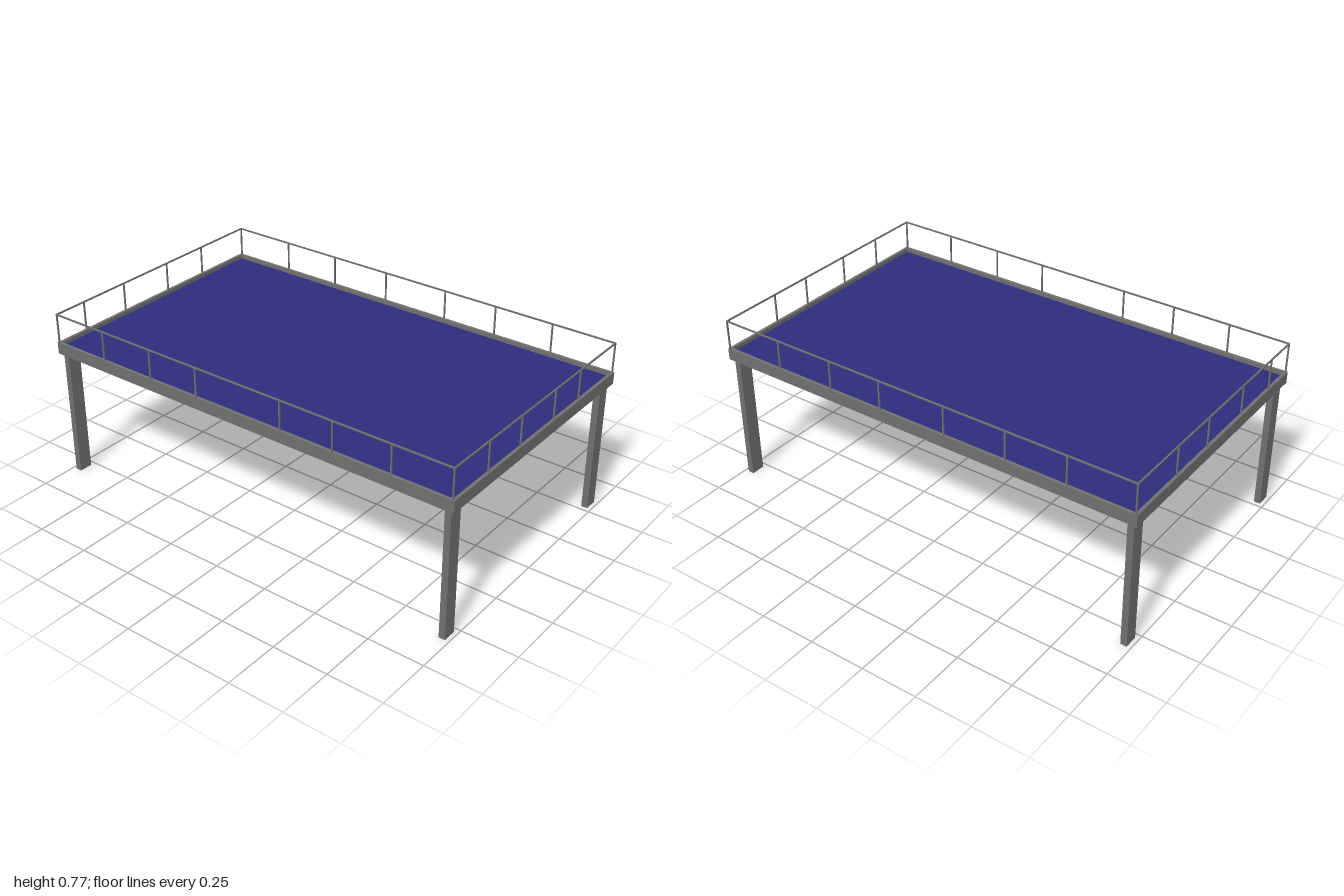
import * as THREE from 'three';

export function createModel() {
  const model = new THREE.Group();
  const steel = new THREE.MeshStandardMaterial({ color: 0x707070 });
  const blue = new THREE.MeshStandardMaterial({ color: 0x2c2c7c });

  const W = 0.597, L = 0.997;           // half width and half length
  const beamLow = 0.58, beamTop = 0.633, beamT = 0.014;
  const deckLow = 0.6, deckTop = 0.615;
  const railTop = 0.767, bar = 0.006;

  // Box given by its two opposite corners
  function box(parent, name, [x0, y0, z0], [x1, y1, z1], material = steel) {
    const geometry = new THREE.BoxGeometry(x1 - x0, y1 - y0, z1 - z0);
    const mesh = new THREE.Mesh(geometry, material);
    mesh.position.set((x0 + x1) / 2, (y0 + y1) / 2, (z0 + z1) / 2);
    mesh.name = name;
    parent.add(mesh);
  }

  // Open rectangular ring with its outer half sizes, bar width and height
  function ring(parent, name, w, l, t, low, high) {
    const shape = new THREE.Shape([[-w, -l], [w, -l], [w, l], [-w, l]]
      .map(([x, y]) => new THREE.Vector2(x, y)));
    const a = w - t, b = l - t;
    shape.holes.push(new THREE.Path([[-a, -b], [-a, b], [a, b], [a, -b]]
      .map(([x, y]) => new THREE.Vector2(x, y))));
    const geometry = new THREE.ExtrudeGeometry(shape, { depth: high - low, bevelEnabled: false });
    geometry.rotateX(-Math.PI / 2);
    const mesh = new THREE.Mesh(geometry, steel);
    mesh.position.y = low;
    mesh.name = name;
    parent.add(mesh);
  }

  // Edge frame with the deck sunk into it
  ring(model, 'edgeFrame', W, 1, beamT, beamLow, beamTop);
  box(model, 'deck', [-W + beamT, deckLow, -1 + beamT], [W - beamT, deckTop, 1 - beamT], blue);

  // Four flat legs inside the frame corners
  const legs = new THREE.Group();
  legs.name = 'legs';
  for (const sx of [-1, 1]) {
    for (const sz of [-1, 1]) {
      const x = sx * 0.552, z = sz * 0.968;
      box(legs, 'leg', [x - 0.031, 0, z - 0.014], [x + 0.031, deckLow, z + 0.014]);
    }
  }
  model.add(legs);

  // Guard rail on thin posts
  const railing = new THREE.Group();
  railing.name = 'railing';
  const w = W - 0.001, l = L - 0.002;
  ring(railing, 'handrail', w, l, bar, railTop - bar, railTop);
  const px = w - bar / 2, pz = l - bar / 2;
  const post = (x, z) => box(railing, 'post',
    [x - bar / 2, beamTop - 0.01, z - bar / 2], [x + bar / 2, railTop - bar, z + bar / 2]);
  for (const sx of [-1, 1]) for (const sz of [-1, 1]) post(sx * px, sz * pz);

  // Intermediate posts along each side
  for (const x of [-0.362, -0.137, 0.112, 0.307]) post(x, pz);
  for (const x of [-0.437, -0.198, 0.075, 0.307]) post(x, -pz);
  for (const z of [0.705, 0.43, 0.175, -0.14, -0.427, -0.7]) post(px, z);
  for (const z of [0.728, 0.462, 0.213, -0.213, -0.46, -0.723]) post(-px, z);
  model.add(railing);

  return model;
}
